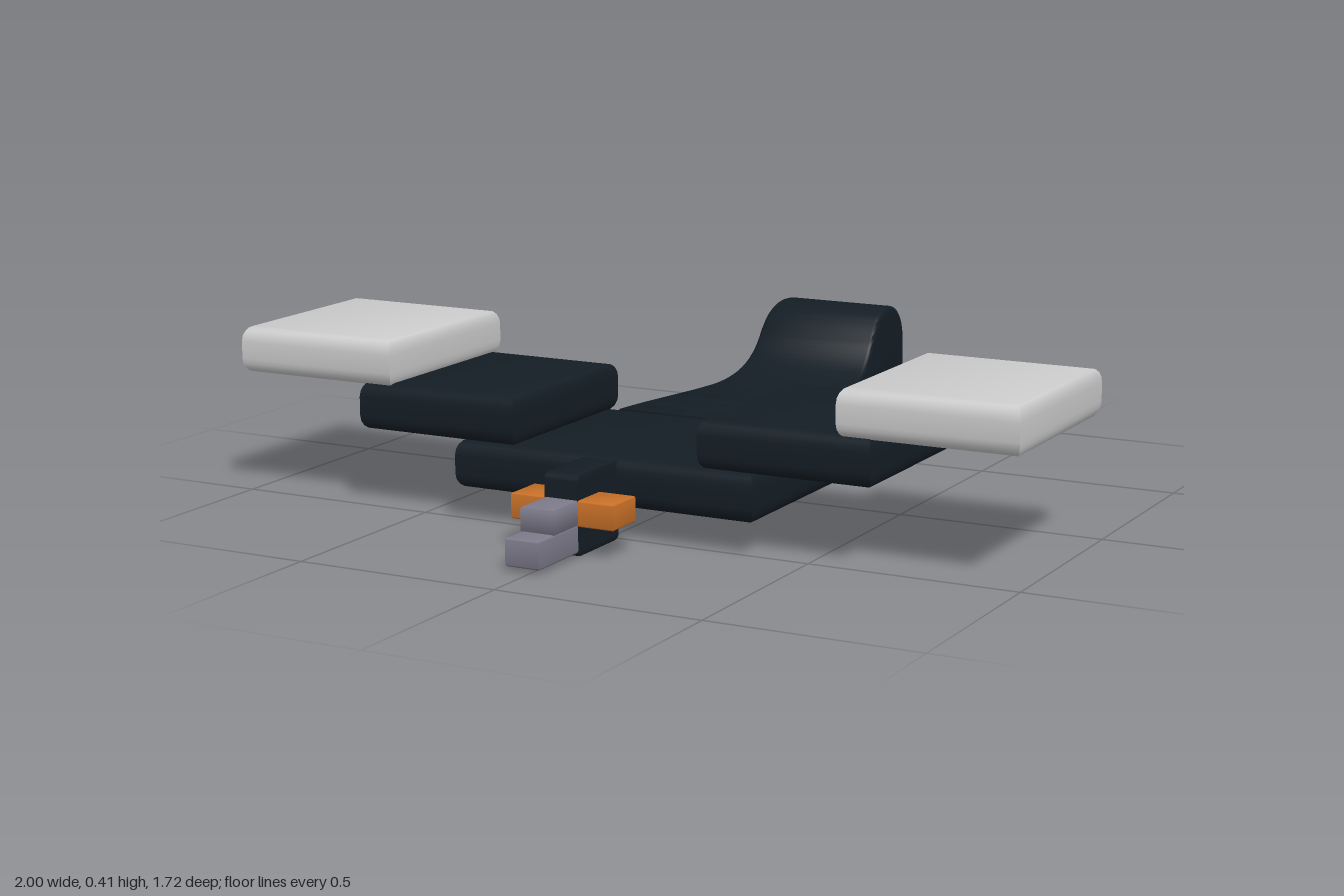
import * as THREE from 'three';
import { toCreasedNormals } from 'three/addons/utils/BufferGeometryUtils.js';

const paint = (color) => new THREE.MeshStandardMaterial({ color });

// Slab given by its extents, with rounded top and bottom rims and crisp upright edges
function slab(name, material, [x0, x1], [y0, y1], [z0, z1], rx, rz, ry) {
  const w = x1 - x0, h = y1 - y0, d = z1 - z0;
  const geo = new THREE.BoxGeometry(1, 1, 1, 1, 9, 1);
  const p = geo.attributes.position;
  for (let i = 0; i < p.count; i++) {
    const level = Math.round((p.getY(i) + 0.5) * 9);
    const a = Math.min(level, 9 - level) * Math.PI / 8;
    const inset = 1 - Math.sin(a);
    const fromEdge = ry * (1 - Math.cos(a));
    p.setXYZ(i,
      Math.sign(p.getX(i)) * (w / 2 - rx * inset),
      level < 5 ? -h / 2 + fromEdge : h / 2 - fromEdge,
      Math.sign(p.getZ(i)) * (d / 2 - rz * inset));
  }
  const mesh = new THREE.Mesh(toCreasedNormals(geo, 0.8), material);
  mesh.name = name;
  mesh.position.set((x0 + x1) / 2, (y0 + y1) / 2, (z0 + z1) / 2);
  return mesh;
}

// Tail: side profile extruded across, then narrowed toward the back
function tail(material, centreX) {
  const s = new THREE.Shape(); // horizontal axis runs backward (-z)
  s.moveTo(-0.04, 0.075);
  s.lineTo(0.86, 0.10);
  s.lineTo(0.86, 0.235);
  s.bezierCurveTo(0.86, 0.31, 0.80, 0.35, 0.73, 0.35);
  s.bezierCurveTo(0.67, 0.35, 0.635, 0.325, 0.605, 0.28);
  s.bezierCurveTo(0.57, 0.22, 0.51, 0.183, 0.38, 0.18);
  s.bezierCurveTo(0.25, 0.18, 0.10, 0.19, -0.04, 0.19);
  s.closePath();
  const bevel = 0.016;
  const geo = new THREE.ExtrudeGeometry(s, {
    depth: 2 - bevel * 8, steps: 1, curveSegments: 14,
    bevelThickness: bevel * 4, bevelSize: bevel, bevelOffset: -bevel, bevelSegments: 4,
  });
  geo.translate(0, 0, -1 + bevel * 4);
  geo.rotateY(Math.PI / 2);
  const p = geo.attributes.position;
  for (let i = 0; i < p.count; i++) {
    const t = (0.04 - p.getZ(i)) / 0.9;
    p.setX(i, centreX + p.getX(i) * THREE.MathUtils.lerp(0.228, 0.138, t));
  }
  const mesh = new THREE.Mesh(toCreasedNormals(geo, 0.7), material);
  mesh.name = 'tail';
  return mesh;
}

export function createModel() {
  const dark = paint(0x141d25), pale = paint(0xcccccc);
  const orange = paint(0xc87028), grey = paint(0x7d7a8a);
  const model = new THREE.Group();
  model.name = 'bird';
  const wingZ = [0.03, 0.522];

  // Body and stepped wings
  model.add(slab('body', dark, [-0.40, 0.373], [0.075, 0.19], wingZ, 0.02, 0.03, 0.035));
  model.add(tail(dark, -0.013));
  const wings = [
    ['right', [-0.663, -0.242], [-1, -0.577]],
    ['left', [0.235, 0.657], [0.574, 1]],
  ];
  for (const [side, inner, outer] of wings) {
    model.add(slab(side + 'InnerWing', dark, inner, [0.187, 0.302], wingZ, 0.016, 0.03, 0.035));
    model.add(slab(side + 'OuterWing', pale, outer, [0.293, 0.405], wingZ, 0.016, 0.03, 0.035));
  }

  // Head, eyes and two-step beak
  const headX = [-0.058, 0.027];
  model.add(slab('head', dark, headX, [0, 0.187], [0.508, 0.69], 0.004, 0.015, 0.015));
  const eyes = [['rightEye', [-0.145, -0.05]], ['leftEye', [0.02, 0.117]]];
  for (const [name, x] of eyes) {
    model.add(slab(name, orange, x, [0.07, 0.13], [0.59, 0.691], 0.004, 0.004, 0.006));
  }
  model.add(slab('upperBeak', grey, headX, [0.072, 0.13], [0.675, 0.795], 0.004, 0.004, 0.006));
  model.add(slab('lowerBeak', grey, headX, [0.01, 0.075], [0.675, 0.86], 0.004, 0.006, 0.008));
  return model;
}
